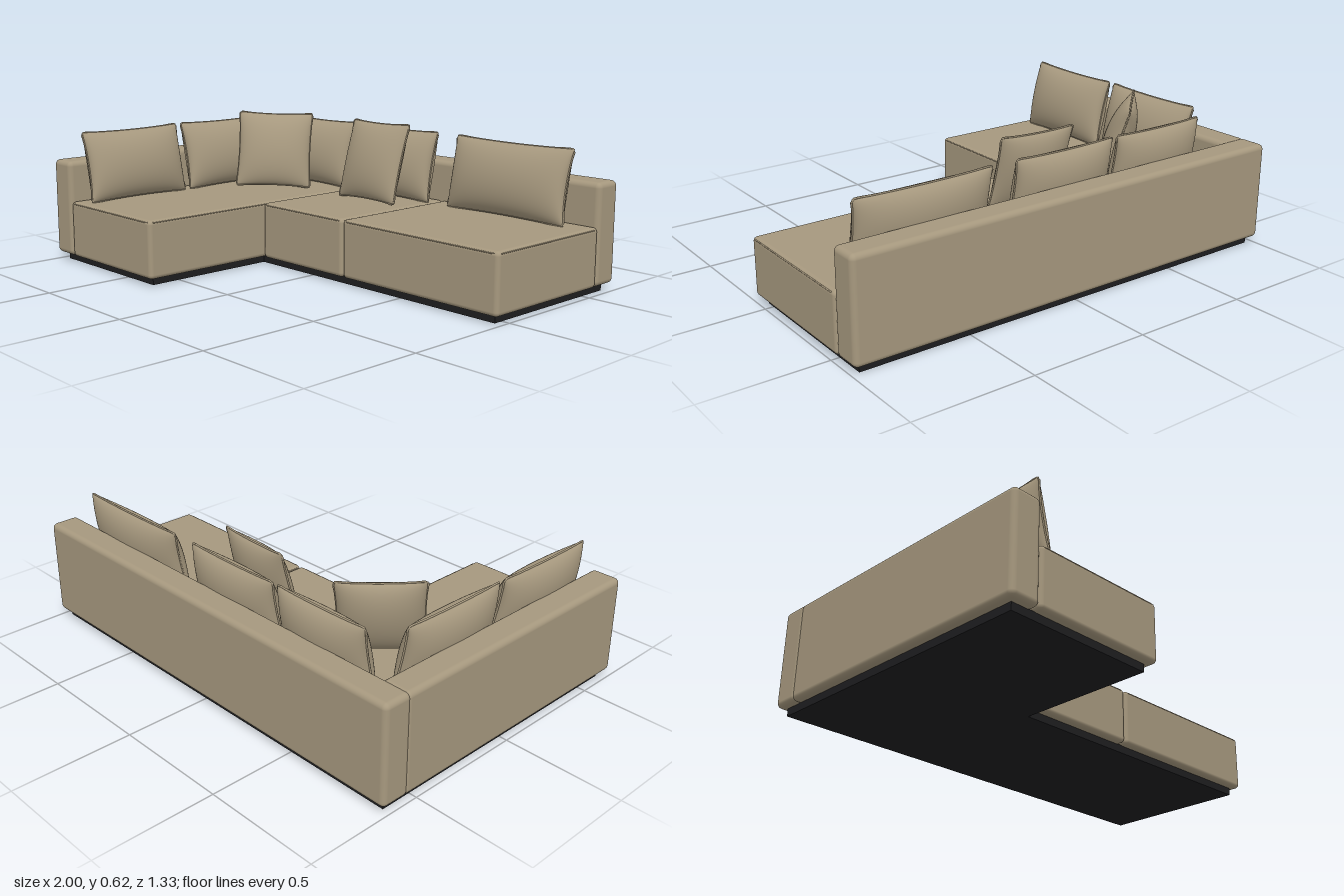
import * as THREE from 'three';
import { mergeGeometries } from 'three/addons/utils/BufferGeometryUtils.js';
import { RoundedBoxGeometry } from 'three/addons/geometries/RoundedBoxGeometry.js';

const fabric = new THREE.MeshStandardMaterial({ color: 0xa6987e });
fabric.name = 'tan fabric';
const plinthBlack = new THREE.MeshStandardMaterial({ color: 0x1e1e20 });
plinthBlack.name = 'black plinth';

// Box given by its min and max corners, optionally rounded
function block(name, [x0, y0, z0], [x1, y1, z1], radius, material) {
  const size = [x1 - x0, y1 - y0, z1 - z0];
  const geometry = radius
    ? new RoundedBoxGeometry(...size, 4, radius)
    : new THREE.BoxGeometry(...size);
  const mesh = new THREE.Mesh(geometry, material);
  mesh.name = name;
  mesh.position.set((x0 + x1) / 2, (y0 + y1) / 2, (z0 + z1) / 2);
  return mesh;
}

// Seam cord running round the top of a seat
function seatPiping(x0, x1, z0, z1, y) {
  const r = 0.02, pts = [];
  const corners = [[x1 - r, z1 - r], [x0 + r, z1 - r], [x0 + r, z0 + r], [x1 - r, z0 + r]];
  corners.forEach(([cx, cz], i) => {
    for (let k = 0; k <= 4; k++) {
      const a = (i + k / 4) * Math.PI / 2;
      pts.push(new THREE.Vector3(cx + r * Math.cos(a), y, cz + r * Math.sin(a)));
    }
  });
  const path = new THREE.CurvePath();
  pts.forEach((p, i) => path.add(new THREE.LineCurve3(p, pts[(i + 1) % pts.length])));
  const mesh = new THREE.Mesh(new THREE.TubeGeometry(path, 160, 0.003, 6, true), fabric);
  mesh.name = 'seatPiping';
  return mesh;
}

// Outline of a pillow with slightly hollow sides; u and v run from -1 to 1
function outline(w, h, u, v) {
  return [
    w / 2 * u * (1 - 0.045 * (1 - v * v) * u * u),
    h / 2 * v * (1 - 0.045 * (1 - u * u) * v * v),
  ];
}

// Stuffed pillow: two bulging panels joined by a corded seam
function pillow(name, w, h, t, [x, y, z], yaw, tilt, power, roll = 0) {
  const front = new THREE.PlaneGeometry(2, 2, 28, 28);
  const p = front.attributes.position;
  for (let i = 0; i < p.count; i++) {
    const u = Math.sin(p.getX(i) * Math.PI / 2);
    const v = Math.sin(p.getY(i) * Math.PI / 2);
    const bulge = Math.pow(Math.max(0, 1 - u * u), power) * Math.pow(Math.max(0, 1 - v * v), 0.58);
    p.setXYZ(i, ...outline(w, h, u, v), t / 2 * bulge);
  }
  front.computeVertexNormals();
  const back = front.clone().rotateY(Math.PI);
  const body = new THREE.Mesh(mergeGeometries([front, back]), fabric);
  body.name = 'pillowBody';

  const seam = [];
  for (let side = 0; side < 4; side++) {
    for (let k = 0; k < 8; k++) {
      const s = -0.97 + 1.94 * k / 7;
      const [u, v] = [[s, -1], [1, s], [-s, 1], [-1, -s]][side];
      seam.push(new THREE.Vector3(...outline(w, h, u, v), 0));
    }
  }
  const curve = new THREE.CatmullRomCurve3(seam, true);
  const cord = new THREE.Mesh(new THREE.TubeGeometry(curve, 96, 0.004, 6, true), fabric);
  cord.name = 'pillowSeam';

  const group = new THREE.Group();
  group.name = name;
  group.add(body, cord);
  group.position.set(x, y, z);
  group.rotation.set(-tilt, yaw, roll, 'YXZ');
  return group;
}

export function createModel() {
  const model = new THREE.Group();
  model.name = 'cornerSofa';

  // L-shaped plinth
  model.add(
    block('plinthMain', [-0.965, 0, -0.632], [0.965, 0.034, 0.04], 0, plinthBlack),
    block('plinthChaise', [-0.965, 0, 0.04], [-0.32, 0.034, 0.628], 0, plinthBlack),
  );

  // Backrest and arm
  model.add(
    block('backrest', [-1, 0.032, -0.667], [1, 0.447, -0.541], 0.022, fabric),
    block('arm', [-1, 0.032, -0.562], [-0.872, 0.447, 0.667], 0.022, fabric),
  );

  // Seats: name, x range, z front
  const seats = [
    ['chaiseSeat', -0.872, -0.284, 0.665],
    ['middleSeat', -0.281, 0.207, 0.075],
    ['endSeat', 0.21, 1, 0.075],
  ];
  for (const [name, x0, x1, z1] of seats) {
    model.add(block(name, [x0, 0.032, -0.545], [x1, 0.274, z1], 0.018, fabric));
    model.add(seatPiping(x0 + 0.003, x1 - 0.003, -0.54, z1 - 0.003, 0.265));
  }

  // Long pillows along the backrest: centre x, width
  for (const [x, w] of [[-0.525, 0.45], [-0.037, 0.475], [0.605, 0.59]]) {
    model.add(pillow('backPillow', w, 0.305, 0.148, [x, 0.424, -0.48], 0, 0.2, 0.38));
  }

  // Long pillows along the arm
  for (const z of [-0.152, 0.37]) {
    model.add(pillow('armPillow', 0.495, 0.305, 0.148, [-0.81, 0.424, z], Math.PI / 2, 0.22, 0.38));
  }

  // Square throw pillows
  model.add(
    pillow('middleThrowPillow', 0.345, 0.345, 0.125, [-0.01, 0.446, -0.328], -0.04, 0.28, 0.55, 0.01),
    pillow('cornerThrowPillow', 0.34, 0.345, 0.125, [-0.567, 0.448, -0.24], 0.77, 0.29, 0.55, -0.03),
  );
  return model;
}
